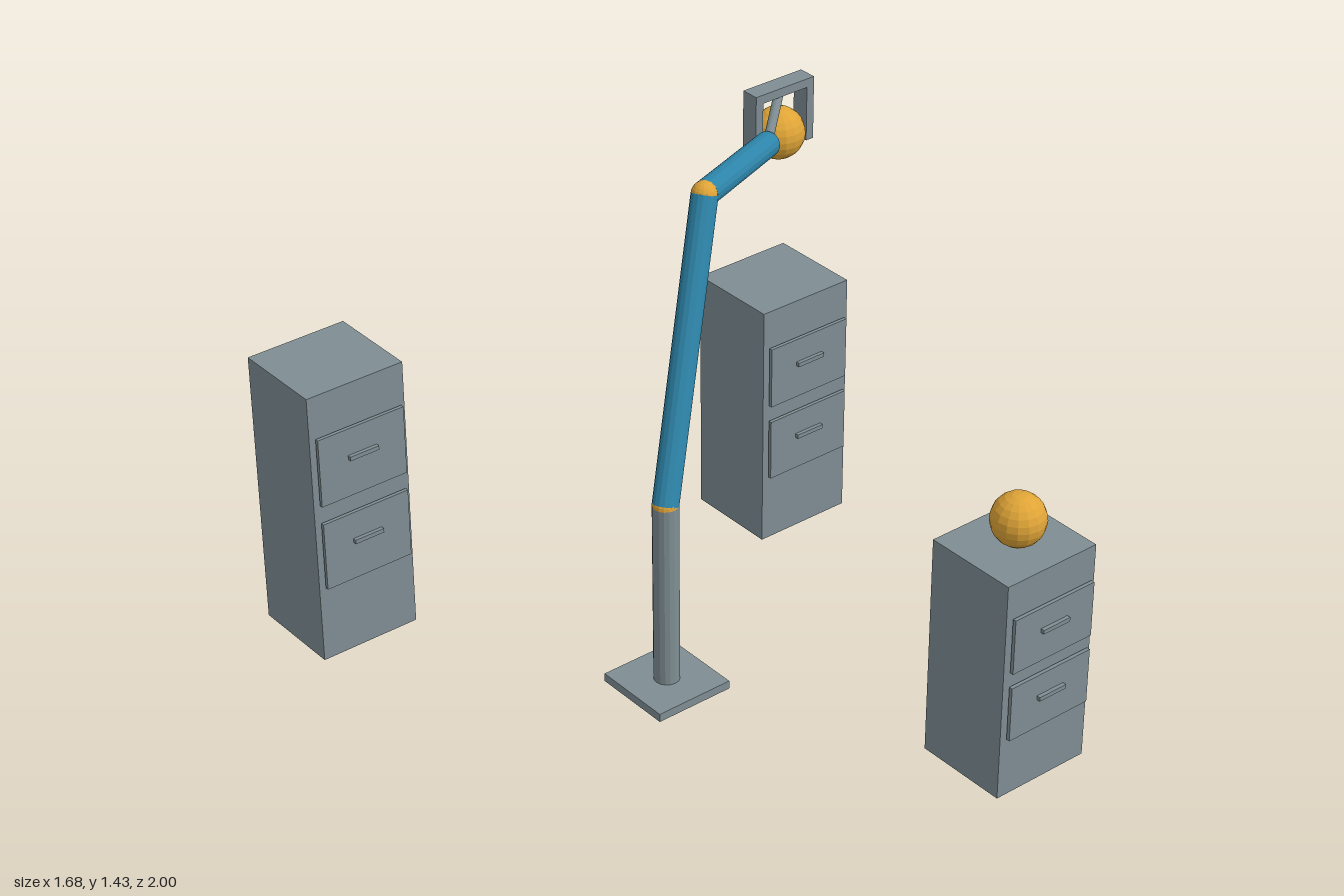
import * as THREE from 'three';

const paint = (name, color, flatShading = true) =>
  Object.assign(new THREE.MeshStandardMaterial({ color, flatShading }), { name });

export function createModel() {
  const grey = paint('steel grey', 0x7f8e93);
  const blue = paint('arm blue', 0x2e86ab);
  const yellow = paint('ball yellow', 0xdfa437);

  const model = new THREE.Group();
  model.name = 'robotArmWithCabinets';

  const add = (parent, name, geometry, material, x, y, z) => {
    const mesh = new THREE.Mesh(geometry, material);
    mesh.name = name;
    mesh.position.set(x, y, z);
    parent.add(mesh);
    return mesh;
  };
  const box = (parent, name, w, h, d, x, y, z) =>
    add(parent, name, new THREE.BoxGeometry(w, h, d), grey, x, y, z);
  const ball = (parent, name, r, p) =>
    add(parent, name, new THREE.SphereGeometry(r, 16, 12), yellow, p.x, p.y, p.z);

  // Round bar between two points
  const rod = (parent, name, a, b, r, material) => {
    const dir = b.clone().sub(a);
    const mid = a.clone().add(b).multiplyScalar(0.5);
    const mesh = add(parent, name, new THREE.CylinderGeometry(r, r, dir.length(), 16), material, mid.x, mid.y, mid.z);
    mesh.quaternion.setFromUnitVectors(new THREE.Vector3(0, 1, 0), dir.normalize());
    return mesh;
  };

  // Filing cabinets: body, two drawer fronts and their handles
  const cabinet = (name, x, z, height) => {
    const group = new THREE.Group();
    group.name = name;
    group.position.set(x, 0, z);
    box(group, 'body', 0.318, height, 0.29, 0, height / 2, 0);
    for (const [label, level] of [['lower', 0.408], ['upper', 0.725]]) {
      const h = height * 0.25;
      const y = height * level;
      box(group, label + 'Drawer', 0.286, h, 0.011, 0, y, 0.158);
      box(group, label + 'Handle', 0.096, 0.013, 0.012, 0, y + h * 0.08, 0.169);
    }
    model.add(group);
  };
  cabinet('backCabinet', -0.682, -0.855, 0.87);
  cabinet('frontCabinet', 0.363, 0.825, 0.69);
  cabinet('sideCabinet', 0.68, -0.54, 0.78);
  ball(model, 'restingBall', 0.078, new THREE.Vector3(0.363, 0.768, 0.835));

  // Pedestal
  const arm = new THREE.Group();
  arm.name = 'robotArm';
  model.add(arm);
  const foot = new THREE.Vector3(-0.16, 0.025, 0);
  const shoulder = new THREE.Vector3(-0.16, 0.605, 0);
  const elbow = new THREE.Vector3(0.128, 1.393, -0.183);
  const wrist = new THREE.Vector3(0.58, 1.286, -0.457);
  const grip = new THREE.Vector3(0.68, 1.395, -0.525);
  box(arm, 'basePlate', 0.25, 0.026, 0.25, -0.16, 0.013, 0);
  rod(arm, 'column', foot, shoulder, 0.038, grey);

  // Arm segments with ball joints
  ball(arm, 'shoulderJoint', 0.038, shoulder);
  rod(arm, 'upperArm', shoulder, elbow, 0.038, blue);
  ball(arm, 'elbowJoint', 0.038, elbow);
  rod(arm, 'forearm', elbow, wrist, 0.038, blue);
  rod(arm, 'wristStrut', wrist, grip, 0.014, grey);

  // Gripper bracket holding a ball
  box(arm, 'gripperBar', 0.214, 0.027, 0.057, 0.678, 1.406, -0.525);
  for (const side of [-1, 1])
    box(arm, side < 0 ? 'rightFinger' : 'leftFinger', 0.026, 0.17, 0.057, 0.678 + side * 0.094, 1.309, -0.525);
  ball(arm, 'heldBall', 0.078, new THREE.Vector3(0.68, 1.264, -0.527));

  return model;
}
